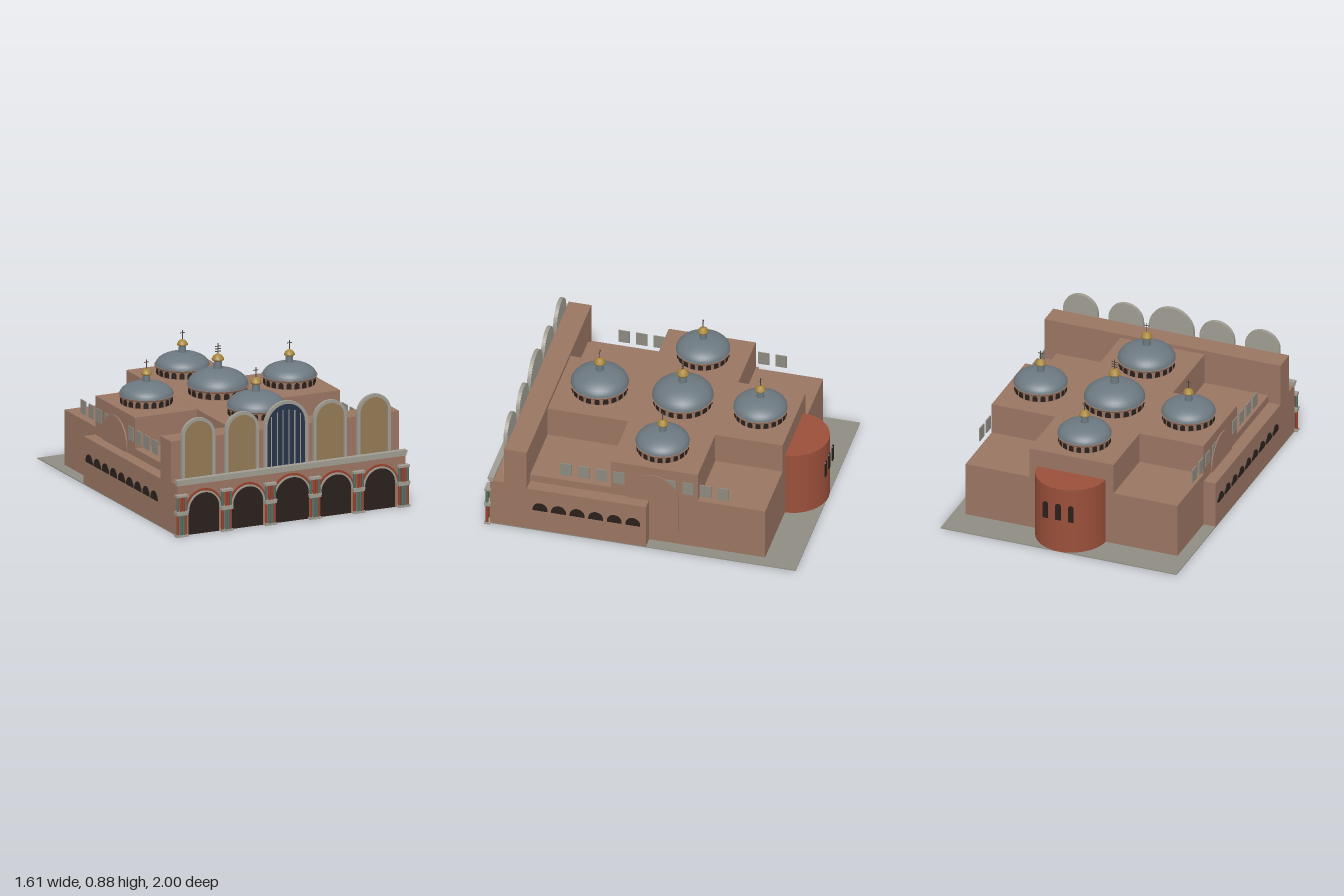
import * as THREE from 'three';

const mat = (color, flatShading = false) =>
  new THREE.MeshStandardMaterial({ color, flatShading, roughness: 0.85, side: THREE.DoubleSide });
const M = {
  brick: mat(0x9a7562), apse: mat(0x9a4f3a), stone: mat(0xa09c92), paving: mat(0x8f8d82),
  dark: mat(0x2a201b), lead: mat(0x6c7880), gold: mat(0xa8863a), iron: mat(0x4a4740),
  mosaic: mat(0x937b55), glass: mat(0x27334a), red: mat(0x96422f), green: mat(0x566e62),
  window: mat(0x8d8a80),
};

function add(parent, name, geo, material, x = 0, y = 0, z = 0) {
  const mesh = new THREE.Mesh(geo, material);
  mesh.name = name;
  mesh.position.set(x, y, z);
  parent.add(mesh);
  return mesh;
}

// Box given by its extents
function block(parent, name, m, x0, x1, y0, y1, z0, z1) {
  return add(parent, name, new THREE.BoxGeometry(x1 - x0, y1 - y0, z1 - z0), m,
    (x0 + x1) / 2, (y0 + y1) / 2, (z0 + z1) / 2);
}

// Round-headed outline: half width r, from y0 up to a crown at top
function archPath(P, r, y0, top) {
  const p = new P();
  p.moveTo(-r, y0);
  p.lineTo(r, y0);
  p.lineTo(r, top - r);
  p.absarc(0, top - r, r, 0, Math.PI, false);
  p.lineTo(-r, y0);
  return p;
}
const extrude = (shape, depth) =>
  new THREE.ExtrudeGeometry(shape, { depth, bevelEnabled: false, curveSegments: 16 });
const archGeo = (r, y0, top, depth) => extrude(archPath(THREE.Shape, r, y0, top), depth);

function archFrame(r, t, y0, top, depth) {
  const s = archPath(THREE.Shape, r + t, y0, top + t);
  s.holes.push(archPath(THREE.Path, r, y0 + 0.001, top));
  return extrude(s, depth);
}

// Half ring for archivolts
function halfRing(r, t, depth) {
  const s = new THREE.Shape();
  s.absarc(0, 0, r + t, 0, Math.PI, false);
  s.absarc(0, 0, r, Math.PI, 0, true);
  return extrude(s, depth);
}

function makeDome(name, x, z, r, topY, bars) {
  const g = new THREE.Group();
  g.name = name;
  g.position.set(x, 0.56, z);
  const h = topY - 0.56;
  add(g, 'drum', new THREE.CylinderGeometry(r * 0.95, r * 0.95, 0.05, 40), M.brick, 0, 0.025, 0);
  add(g, 'drumCornice', new THREE.CylinderGeometry(r * 1.04, r, 0.012, 40), M.brick, 0, 0.052, 0);
  // ring of small arched drum windows
  for (let i = 0; i < 20; i++) {
    const a = ((i + 0.5) / 20) * Math.PI * 2;
    const w = add(g, 'drumWindow', archGeo(r * 0.09, 0.005, 0.044, 0.006), M.dark,
      Math.sin(a) * (r * 0.95 - 0.003), 0, Math.cos(a) * (r * 0.95 - 0.003));
    w.rotation.y = a;
  }
  const pts = [];
  for (let i = 0; i <= 10; i++) {
    const a = (i / 10) * Math.PI / 2;
    pts.push(new THREE.Vector2(Math.cos(a) * r, 0.056 + Math.sin(a) * (h - 0.056)));
  }
  add(g, 'domeShell', new THREE.LatheGeometry(pts, 40), M.lead);
  // lantern, gilt cap and cross
  const k = r / 0.17;
  const top = new THREE.Group();
  top.name = 'lantern';
  top.position.y = h - 0.008;
  top.scale.setScalar(k);
  g.add(top);
  add(top, 'lanternShaft', new THREE.CylinderGeometry(0.022, 0.025, 0.055, 12), M.lead, 0, 0.027, 0);
  const cap = [[0.022, 0.048], [0.034, 0.054], [0.034, 0.064], [0.027, 0.068], [0.029, 0.074],
    [0.02, 0.082], [0.006, 0.089], [0, 0.092]];
  add(top, 'giltCap', new THREE.LatheGeometry(cap.map(p => new THREE.Vector2(...p)), 12), M.gold);
  add(top, 'crossPost', new THREE.BoxGeometry(0.004, 0.062, 0.004), M.iron, 0, 0.118, 0);
  for (let i = 0; i < bars; i++)
    add(top, 'crossBar', new THREE.BoxGeometry(0.034, 0.004, 0.004), M.iron, 0, 0.132 - i * 0.015, 0);
  return g;
}

// Two tiers of clustered columns
function makePier(x) {
  const g = new THREE.Group();
  g.name = 'columnPier';
  g.position.set(x, 0, 0.978);
  for (const [y0, y1, flip] of [[0, 0.152, 0], [0.152, 0.268, 1]]) {
    block(g, 'pierBase', M.stone, -0.04, 0.04, y0, y0 + 0.012, -0.02, 0.021);
    block(g, 'pierCapital', M.stone, -0.038, 0.038, y1 - 0.014, y1, -0.02, 0.019);
    for (let i = 0; i < 4; i++)
      add(g, 'column', new THREE.CylinderGeometry(0.0085, 0.0085, y1 - y0 - 0.02, 10),
        (i === 0 || i === 3) !== !!flip ? M.red : M.green,
        -0.028 + i * 0.0187, (y0 + y1) / 2, i % 3 ? 0.01 : 0.004);
  }
  return g;
}

export function createModel() {
  const root = new THREE.Group();
  root.name = 'domedChurch';

  block(root, 'groundSlab', M.paving, -0.785, 0.785, 0, 0.006, -0.985, 0.96);

  // Cross-shaped body with lower corner blocks
  block(root, 'nave', M.brick, -0.28, 0.28, 0.004, 0.56, -0.77, 0.73);
  block(root, 'transept', M.brick, -0.705, 0.705, 0.004, 0.559, -0.34, 0.215);
  for (const s of [-1, 1]) {
    const [a, b] = s < 0 ? [-0.705, -0.28] : [0.28, 0.705];
    block(root, 'rearCorner', M.brick, a, b, 0.004, 0.36, -0.77, -0.34);
    block(root, 'frontCorner', M.brick, a, b, 0.004, 0.36, 0.215, 0.73);

    // Side aisle with a row of lunettes; the -x aisle is longer
    const back = s < 0 ? -0.34 : -0.03;
    const [c, d] = s < 0 ? [-0.785, -0.705] : [0.705, 0.785];
    block(root, 'sideAisle', M.brick, c, d, 0.004, 0.31, back, 0.73);
    const n = s < 0 ? 9 : 6, end = s < 0 ? -0.26 : 0.053;
    for (let i = 0; i < n; i++) {
      const l = add(root, 'lunette', archGeo(0.047, 0, 0.056, 0.006), M.dark,
        s * 0.783, 0.155, 0.645 + (end - 0.645) * i / (n - 1));
      l.rotation.y = s * Math.PI / 2;
    }

    // Arched gable on the transept end
    const gable = add(root, 'transeptGable', archGeo(0.165, 0.1, 0.505, 0.012), M.brick, s * 0.702, 0, -0.055);
    gable.rotation.y = s * Math.PI / 2;

    // Clerestory windows
    for (const z of [0.5, 0.388, 0.275, 0.163, -0.167, -0.28, -0.39, -0.502])
      block(root, 'clerestoryWindow', M.window, s * 0.707 - 0.004, s * 0.707 + 0.004,
        0.4, 0.487, z - 0.036, z + 0.036);
  }

  // Apse with three arched windows
  add(root, 'apse', new THREE.CylinderGeometry(0.226, 0.226, 0.441, 32), M.apse, 0, 0.2245, -0.765);
  for (const x of [-0.085, 0, 0.085])
    add(root, 'apseWindow', archGeo(0.018, 0.23, 0.342, 0.008), M.dark, x, 0, -0.998);

  // Front block and lower portal storey
  block(root, 'facadeBlock', M.brick, -0.785, 0.785, 0.004, 0.585, 0.73, 0.875);
  block(root, 'portalStorey', M.brick, -0.785, 0.785, 0, 0.33, 0.875, 0.965);
  block(root, 'cornice', M.stone, -0.787, 0.787, 0.322, 0.345, 0.945, 0.972);
  block(root, 'corniceLip', M.stone, -0.793, 0.793, 0.342, 0.358, 0.94, 0.977);

  // Five portals below, five round-headed panels above
  for (const x of [-0.605, -0.303, 0, 0.303, 0.605]) {
    const mid = x === 0;
    const r = mid ? 0.117 : 0.105, top = mid ? 0.284 : 0.264;
    add(root, 'portal', archGeo(r, 0.002, top, 0.008), M.dark, x, 0, 0.962);
    add(root, 'archivolt', halfRing(r, 0.01, 0.018), M.stone, x, top - r, 0.962);
    add(root, 'brickArch', halfRing(r + 0.01, 0.014, 0.012), M.red, x, top - r, 0.96);

    const R = mid ? 0.13 : 0.095, T = mid ? 0.733 : 0.7;
    add(root, 'gableBack', archGeo(R + 0.018, 0.335, T + 0.018, 0.012), M.stone, x, 0, 0.872);
    add(root, 'gableFrame', archFrame(R, 0.02, 0.335, T, 0.022), M.stone, x, 0, 0.874);
    add(root, 'gablePanel', archGeo(R, 0.335, T, 0.004), mid ? M.glass : M.mosaic, x, 0, 0.884);
  }
  // Mullions of the great window
  for (let i = 0; i < 6; i++) {
    const x = -0.1 + i * 0.04;
    block(root, 'mullion', M.stone, x - 0.003, x + 0.003, 0.335, 0.595 + 0.1 * Math.sqrt(1 - (x / 0.13) ** 2),
      0.886, 0.892);
  }
  for (const x of [-0.763, -0.454, -0.153, 0.153, 0.454, 0.763]) root.add(makePier(x));

  // Five domes
  root.add(makeDome('centralDome', 0, -0.06, 0.19, 0.72, 3));
  root.add(makeDome('frontDome', 0, 0.47, 0.18, 0.71, 1));
  root.add(makeDome('rearDome', 0, -0.555, 0.168, 0.697, 1));
  root.add(makeDome('leftDome', 0.492, -0.06, 0.168, 0.697, 1));
  root.add(makeDome('rightDome', -0.492, -0.06, 0.168, 0.697, 1));
  return root;
}
